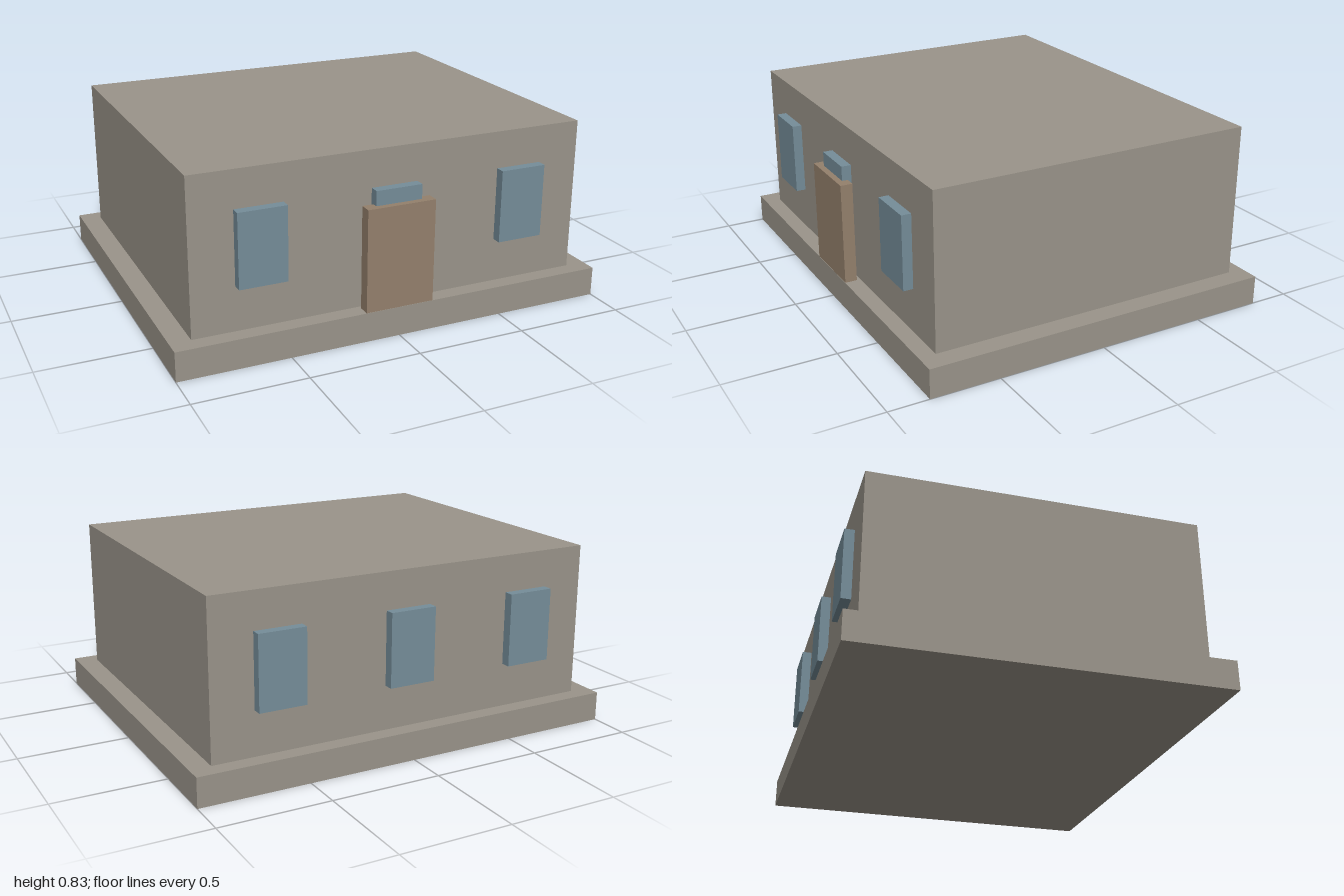
import * as THREE from 'three';

const stone = new THREE.MeshStandardMaterial({ name: 'stone', color: 0x9a948a });
const glass = new THREE.MeshStandardMaterial({ name: 'blueGlass', color: 0x758d99 });
const wood = new THREE.MeshStandardMaterial({ name: 'brownWood', color: 0x94806c });

const BASE_H = 0.133;
const WALL_Z = 0.743;

// Box standing on height y, centred on x and z
function block(name, material, [w, h, d], [x, y, z]) {
  const mesh = new THREE.Mesh(new THREE.BoxGeometry(w, h, d), material);
  mesh.name = name;
  mesh.position.set(x, y + h / 2, z);
  return mesh;
}

export function createModel() {
  const house = new THREE.Group();
  house.name = 'house';

  // Foundation slab and the plain flat-roofed body
  house.add(block('foundation', stone, [2, BASE_H, 1.634], [0, 0, 0]));
  house.add(block('walls', stone, [1.814, 0.697, WALL_Z * 2], [0, BASE_H, 0]));

  // Door standing just clear of the front wall
  house.add(block('door', wood, [0.316, 0.464, 0.055], [0, BASE_H, 0.788]));

  // Three protruding windows on the front and on the back
  const depth = 0.044;
  for (const side of [1, -1]) {
    const row = new THREE.Group();
    row.name = side > 0 ? 'frontWindows' : 'backWindows';
    for (const x of [-0.607, 0, 0.607]) {
      row.add(block('window', glass, [0.214, 0.33, depth], [x, 0.333, side * (WALL_Z + depth / 2)]));
    }
    house.add(row);
  }
  return house;
}
